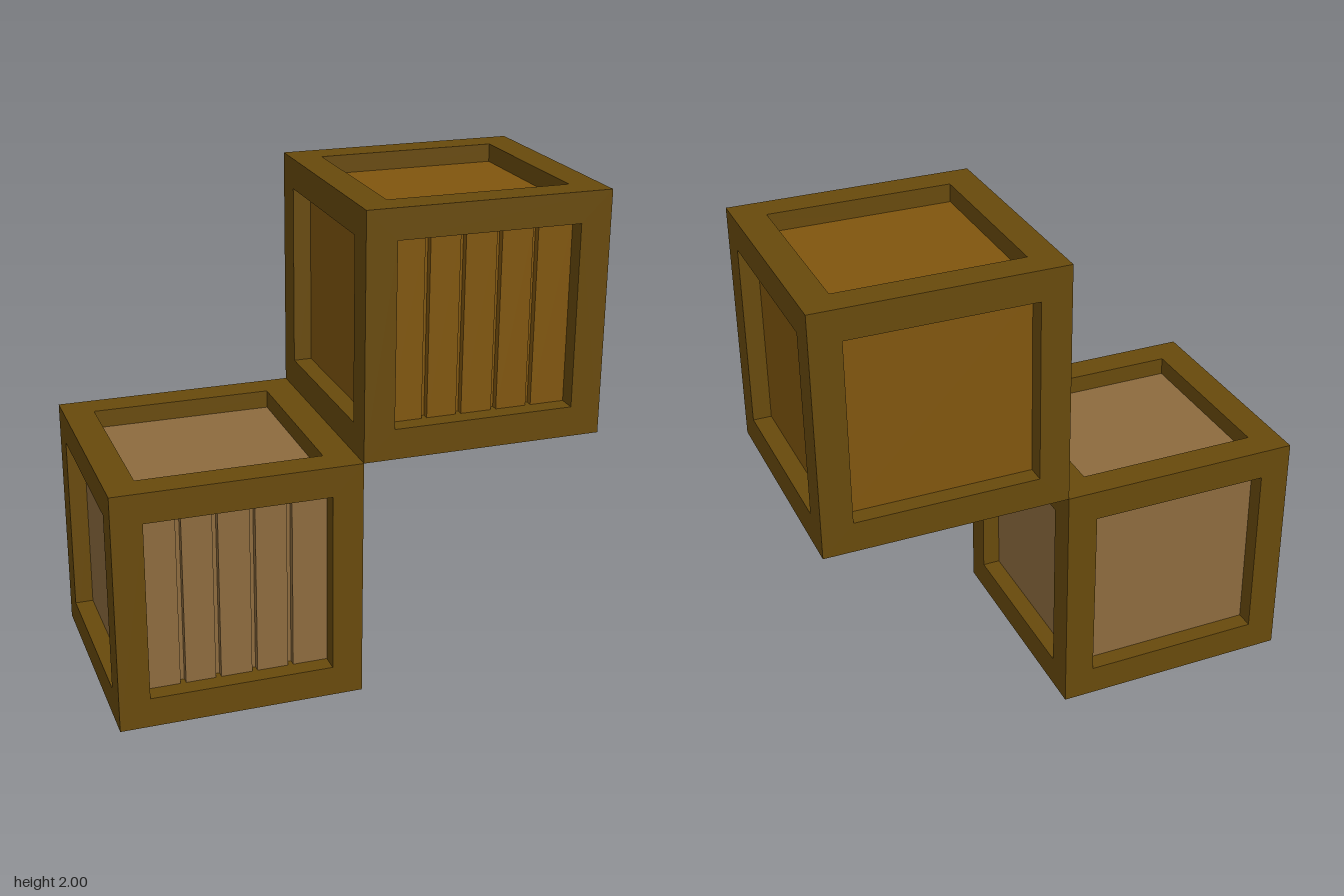
import * as THREE from 'three';

const BEAM = 0.125;          // thickness of the frame beams
const OPEN = 1 - 2 * BEAM;   // width of each panel opening
const PANEL = 0.425;         // distance of the panels from the crate centre
const GROOVE = 0.03;         // depth of the gaps between planks

function material(name, color) {
  const m = new THREE.MeshStandardMaterial({ color });
  m.name = name;
  return m;
}

function addMesh(group, name, geometry, mat, x = 0, y = 0, z = 0) {
  const mesh = new THREE.Mesh(geometry, mat);
  mesh.name = name;
  mesh.position.set(x, y, z);
  group.add(mesh);
}

function square(Path, size) {
  const h = size / 2;
  return new Path([[-h, -h], [h, -h], [h, h], [-h, h]].map(([x, y]) => new THREE.Vector2(x, y)));
}

function createCrate(name, frameMat, panelMat) {
  const crate = new THREE.Group();
  crate.name = name;

  // Square frames at the front and back
  const ring = square(THREE.Shape, 1);
  ring.holes.push(square(THREE.Path, OPEN));
  const ringGeo = new THREE.ExtrudeGeometry(ring, { depth: BEAM, bevelEnabled: false });
  addMesh(crate, 'frontFrame', ringGeo, frameMat, 0, 0, 0.5 - BEAM);
  addMesh(crate, 'backFrame', ringGeo, frameMat, 0, 0, -0.5);

  // Beams joining the two frames
  const beamGeo = new THREE.BoxGeometry(BEAM, BEAM, OPEN);
  const c = (1 - BEAM) / 2;
  for (const x of [-c, c]) for (const y of [-c, c]) addMesh(crate, 'sideBeam', beamGeo, frameMat, x, y, 0);

  // Recessed panels on all sides, set deeper at the front to leave room for planks
  const coreGeo = new THREE.BoxGeometry(2 * PANEL, 2 * PANEL, 2 * PANEL - GROOVE);
  addMesh(crate, 'panels', coreGeo, panelMat, 0, 0, -GROOVE / 2);

  // Five front planks separated by narrow gaps
  const edges = [[-0.375, -0.235], [-0.213, -0.09], [-0.068, 0.06], [0.082, 0.21], [0.232, 0.375]];
  for (const [a, b] of edges) {
    const plankGeo = new THREE.BoxGeometry(b - a, OPEN, GROOVE);
    addMesh(crate, 'frontPlank', plankGeo, panelMat, (a + b) / 2, 0, PANEL - GROOVE / 2);
  }
  return crate;
}

export function createModel() {
  const model = new THREE.Group();
  model.name = 'stackedCrates';
  const frame = material('darkWood', 0x684a0c);
  const tan = material('paleWood', 0x8d6b3e);
  const amber = material('amberWood', 0x80560e);

  const lower = createCrate('lowerCrate', frame, tan);
  lower.position.set(-0.5, 0.5, 0);
  const upper = createCrate('upperCrate', frame, amber);
  upper.position.set(0.5, 1.5, 0);
  model.add(lower, upper);
  return model;
}
